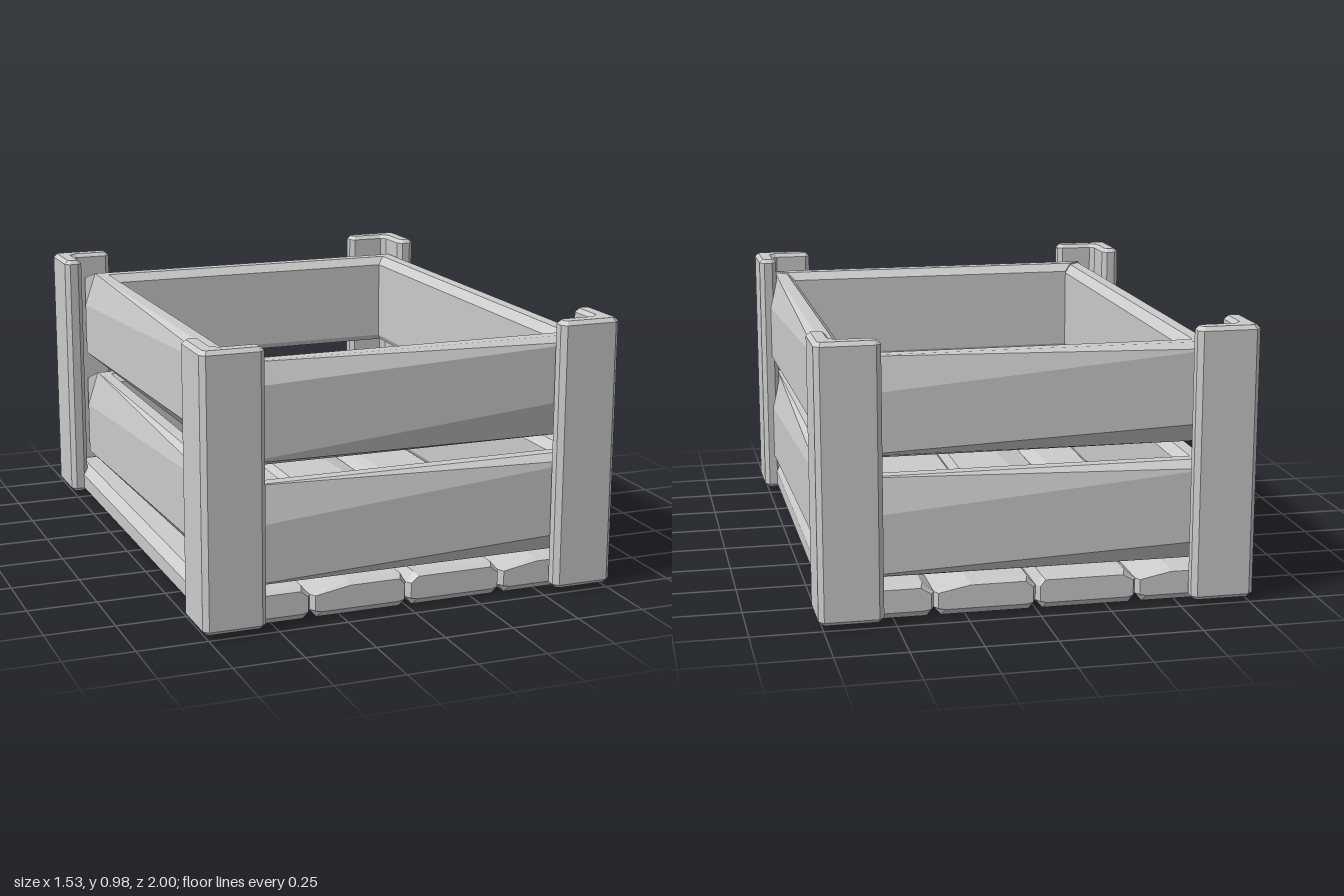
import * as THREE from 'three';

const material = new THREE.MeshStandardMaterial({ color: 0xcccccc, flatShading: true });

// Closed solid through rings of [x, y, z] points, running from -x to +x
function loft(rings) {
  const pos = [];
  const tri = (a, b, c) => pos.push(...a, ...b, ...c);
  const n = rings[0].length;
  for (let i = 0; i < rings.length - 1; i++) {
    const r0 = rings[i], r1 = rings[i + 1];
    for (let j = 0; j < n; j++) {
      const k = (j + 1) % n;
      tri(r0[j], r0[k], r1[k]);
      tri(r0[j], r1[k], r1[j]);
    }
  }
  const first = rings[0], last = rings[rings.length - 1];
  for (let j = 1; j < n - 1; j++) {
    tri(first[0], first[j + 1], first[j]);
    tri(last[0], last[j], last[j + 1]);
  }
  const geo = new THREE.BufferGeometry();
  geo.setAttribute('position', new THREE.Float32BufferAttribute(pos, 3));
  geo.computeVertexNormals();
  return geo;
}

function addMesh(parent, name, geo) {
  const mesh = new THREE.Mesh(geo, material);
  mesh.name = name;
  parent.add(mesh);
  return mesh;
}

// Wall board with mitred ends and an outer face whose chamfers twist along its length.
// low and high hold the outer face's bottom and top edges at the two ends.
function wallBoard(half, y0, y1, low, high) {
  const thick = 0.11;
  const ring = (end) => {
    const i = end < 0 ? 0 : 1;
    const section = [
      [y0, 0.01], [y0 + 0.02, 0], [y1 - 0.03, 0], [y1, 0.03], [y1, thick - 0.035],
      [high[i], thick], [low[i], thick], [y0, thick - 0.06],
    ];
    return section.map(([y, z]) => [end * (half + z), y, z]);
  };
  return loft([ring(-1), ring(1)]);
}

// Floor plank, chamfered all round; left and right top chamfers vary from back to front
function floorPlank(w, left, right) {
  const ring = (x, t, inset) => {
    const cl = THREE.MathUtils.lerp(left[0], left[1], t);
    const cr = THREE.MathUtils.lerp(right[0], right[1], t);
    const section = [
      [0, -w + 0.025], [0.03, -w], [0.085, -w], [0.12, -w + cl],
      [0.12, w - cr], [0.085, w], [0.03, w], [0, w - 0.025],
    ];
    return section.map(([y, z]) => [
      x,
      THREE.MathUtils.clamp(y, inset, 0.12 - inset / 2),
      z * (1 - inset / 2 / w),
    ]);
  };
  return loft([
    ring(-0.935, 0, 0.025), ring(-0.91, 0, 0),
    ring(0.91, 1, 0), ring(0.935, 1, 0.025),
  ]);
}

// L-shaped post with every corner cut, outer corner at the origin
function cornerPost() {
  const arm = 0.224, t = 0.068, cut = 0.018, bevel = 0.014;
  const corners = [[0, 0], [0, arm], [-t, arm], [-t, t], [-arm, t], [-arm, 0]]
    .map(([x, y]) => new THREE.Vector2(x, y));
  const outline = [];
  corners.forEach((p, i) => {
    const before = corners[(i + 5) % 6], after = corners[(i + 1) % 6];
    for (const q of [before, after]) {
      outline.push(p.clone().add(q.clone().sub(p).setLength(cut)));
    }
  });
  const geo = new THREE.ExtrudeGeometry(new THREE.Shape(outline), {
    depth: 0.97 - 2 * bevel, bevelEnabled: true, bevelSegments: 1,
    bevelThickness: bevel, bevelSize: bevel, bevelOffset: -bevel,
  });
  return geo.translate(0, 0, bevel).rotateX(-Math.PI / 2);
}

export function createModel() {
  const crate = new THREE.Group();
  crate.name = 'crate';

  // Corner posts
  const postGeo = cornerPost();
  [['frontLeft', 1, 1], ['backLeft', 1, -1], ['backRight', -1, -1], ['frontRight', -1, 1]]
    .forEach(([name, sx, sz], i) => {
      const post = addMesh(crate, name + 'Post', postGeo);
      post.position.set(sx * 0.765, 0.015, sz);
      post.rotation.y = i * Math.PI / 2;
    });

  // Four floor planks set edge to edge, running front to back
  for (let i = 0; i < 4; i++) {
    const even = i % 2 === 0;
    const geo = floorPlank(0.179,
      even ? [0.03, 0.03] : [0.14, 0.04],
      even ? [0.03, 0.12] : [0.02, 0.02]);
    const plank = addMesh(crate, 'floorPlank' + (i + 1), geo);
    plank.rotation.y = Math.PI / 2;
    plank.position.x = (i - 1.5) * 0.358;
  }

  // Two tiers of wall boards around the opening, set a little off centre
  const halfX = 0.58, halfZ = 0.8125;
  ['front', 'left', 'back', 'right'].forEach((name, i) => {
    const side = i % 2 === 1;
    const half = side ? halfZ : halfX;
    const wall = new THREE.Group();
    wall.name = name + 'Wall';
    wall.rotation.y = i * Math.PI / 2;
    wall.position.set(0.035, 0, 0.015);
    const boards = new THREE.Group();
    boards.name = name + 'Boards';
    boards.position.z = side ? halfX : halfZ;
    wall.add(boards);
    addMesh(boards, name + 'LowerBoard',
      wallBoard(half, 0.128, 0.493, [0.15, 0.205], [0.35, 0.465]));
    addMesh(boards, name + 'UpperBoard', name === 'front'
      ? wallBoard(half, 0.553, 0.917, [0.58, 0.7], [0.835, 0.895])
      : wallBoard(half, 0.553, 0.911, [0.575, 0.63], [0.775, 0.89]));
    crate.add(wall);
  });

  return crate;
}
